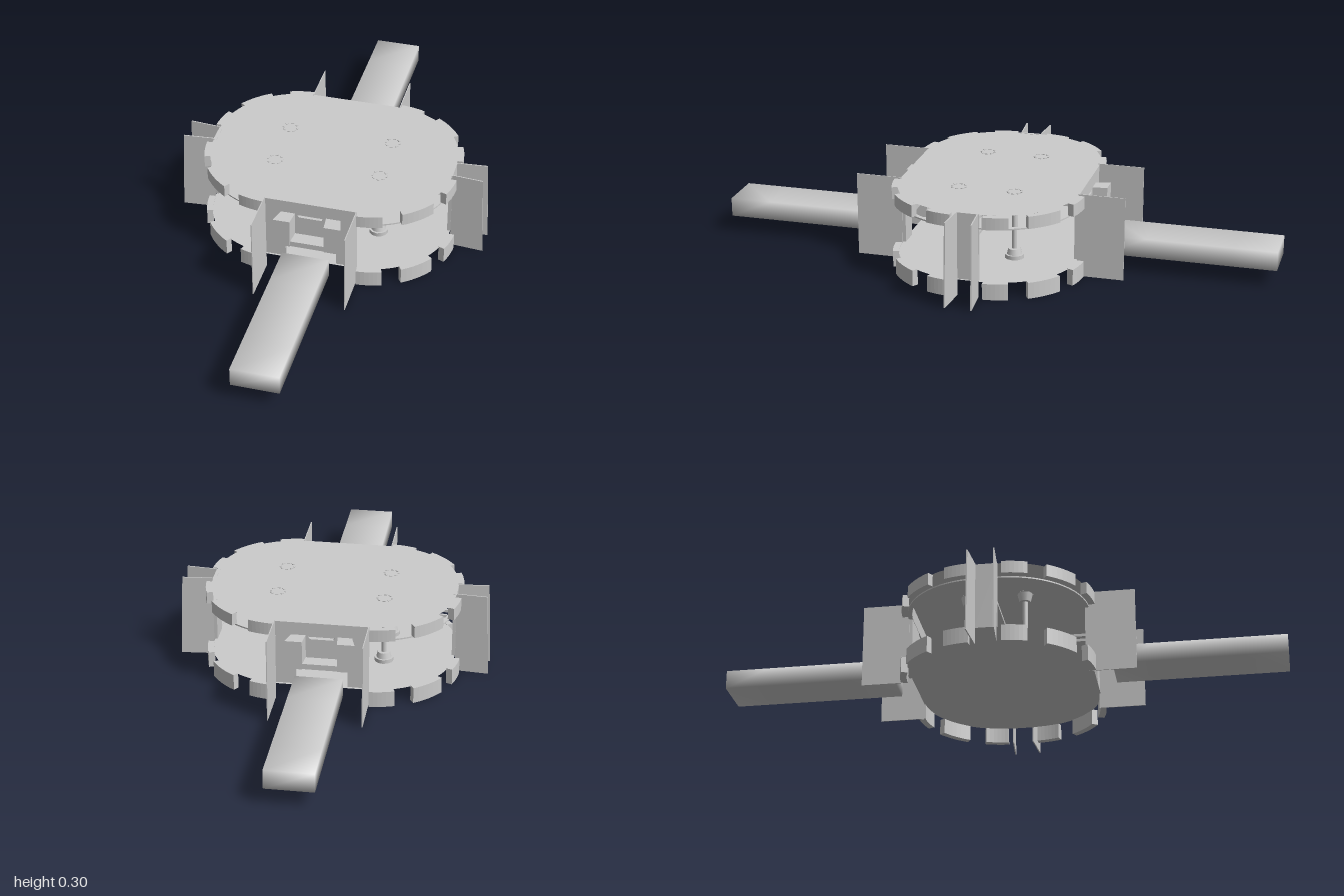
import * as THREE from 'three';
import { mergeVertices } from 'three/addons/utils/BufferGeometryUtils.js';

const CX = 0.15, CZ = 0.04; // centres of the rounded deck corners
const SIGNS = [-1, 1];

export function createModel() {
  const model = new THREE.Group();
  const grey = new THREE.MeshStandardMaterial({ color: 0xcccccc, side: THREE.DoubleSide });

  function add(name, geometry, x = 0, y = 0, z = 0, parent = model) {
    const mesh = new THREE.Mesh(geometry, grey);
    mesh.name = name;
    mesh.position.set(x, y, z);
    parent.add(mesh);
    return mesh;
  }

  const polygon = points => new THREE.Shape(points.map(([x, y]) => new THREE.Vector2(x, y)));

  // Extrude a plan shape (x, -z) upwards from y = 0
  function slab(shape, height) {
    const g = new THREE.ExtrudeGeometry(shape, { depth: height, bevelEnabled: false, curveSegments: 14 });
    return g.rotateX(-Math.PI / 2);
  }

  // Rounded deck outline
  function deckShape(r) {
    const s = new THREE.Shape();
    s.absarc(CX, CZ, r, 0, Math.PI / 2);
    s.absarc(-CX, CZ, r, Math.PI / 2, Math.PI);
    s.absarc(-CX, -CZ, r, Math.PI, Math.PI * 1.5);
    s.absarc(CX, -CZ, r, Math.PI * 1.5, Math.PI * 2);
    s.closePath();
    return s;
  }

  // Thin decks, each with rim blocks hanging from its edge
  const sheet = r => new THREE.ShapeGeometry(deckShape(r), 14).rotateX(-Math.PI / 2);
  add('upperDeck', sheet(0.282), 0, 0.299, 0);
  add('lowerDeck', sheet(0.282), 0, 0.056, 0);

  // Slim lip under the upper deck edge
  const lip = deckShape(0.28);
  lip.holes.push(deckShape(0.265));
  add('upperLip', slab(lip, 0.005), 0, 0.245, 0);

  // Cross bars below the upper deck
  for (const s of SIGNS) {
    add('crossBar', new THREE.BoxGeometry(0.8, 0.01, 0.008), 0, 0.205, s * 0.02);
    add('crossBar', new THREE.BoxGeometry(0.008, 0.01, 0.59), s * 0.02, 0.205, 0);
  }

  // Curved rim blocks, three on each corner of each deck
  const spans = [[3, 20], [33, 57], [70, 87]];
  function rimBlock(sx, sz, from, to, height) {
    const a = THREE.MathUtils.degToRad(from), b = THREE.MathUtils.degToRad(to);
    const steps = 6;
    const point = (r, t) => [sx * (CX + r * Math.sin(t)), -sz * (CZ + r * Math.cos(t))];
    const pts = [];
    for (let i = 0; i <= steps; i++) pts.push(point(0.302, a + (b - a) * i / steps));
    for (let i = steps; i >= 0; i--) pts.push(point(0.279, a + (b - a) * i / steps));
    return slab(polygon(pts), height);
  }
  for (const sx of SIGNS) for (const sz of SIGNS) for (const [a, b] of spans) {
    add('upperRimBlock', rimBlock(sx, sz, a, b, 0.044), 0, 0.253, 0);
    add('lowerRimBlock', rimBlock(sx, sz, a, b, 0.058), 0, 0, 0);
  }

  // Flat upright fins in pairs around the four gates
  function fin() {
    const s = polygon([[0, 0], [0.12, 0], [0.108, 0.302], [0, 0.302]]);
    return new THREE.ExtrudeGeometry(s, { depth: 0.004, bevelEnabled: false }).translate(0, 0, -0.002);
  }
  for (const sx of SIGNS) for (const sz of SIGNS) {
    add('endFin', new THREE.BoxGeometry(0.003, 0.302, 0.165), sx * 0.162, 0.151, sz * 0.4);
    const side = add('sideFin', fin(), sx * 0.434, 0, sz * 0.037);
    side.rotation.y = sx > 0 ? -sz * 0.08 : Math.PI + sz * 0.08;
  }

  // Walls closing the sides between the fins
  for (const sx of SIGNS) add('sideWall', new THREE.BoxGeometry(0.012, 0.24, 0.08), sx * 0.428, 0.18, 0);

  // End gates: wall with a sight slot and arm opening, a bracket, and a long arm
  for (const sz of SIGNS) {
    const gate = new THREE.Group();
    gate.name = 'endGate';
    gate.rotation.y = sz > 0 ? 0 : Math.PI;
    model.add(gate);

    const wall = polygon([[-0.16, 0.06], [-0.09, 0.06], [-0.09, 0.135], [0.09, 0.135], [0.09, 0.06],
      [0.16, 0.06], [0.16, 0.297], [-0.16, 0.297]]);
    wall.holes.push(polygon([[-0.04, 0.236], [-0.05, 0.25], [0.05, 0.25], [0.04, 0.236]]));
    add('endWall', new THREE.ExtrudeGeometry(wall, { depth: 0.014, bevelEnabled: false }), 0, 0, 0.306, gate);

    // Bracket shelf between two lugs that narrow downwards
    add('bracketShelf', new THREE.BoxGeometry(0.13, 0.02, 0.05), 0, 0.155, 0.344, gate);
    for (const sx of SIGNS) {
      const lug = polygon([[0.055, 0.32], [0.105, 0.32], [0.12, 0.372], [0.06, 0.372]]
        .map(([x, z]) => [sx * x, -z]));
      add('bracketLug', slab(lug, 0.105), 0, 0.145, 0, gate);
    }

    // Arm with softly shaded edges
    const arm = new THREE.BoxGeometry(0.166, 0.068, 0.61, 1, 1, 4);
    arm.deleteAttribute('normal');
    arm.deleteAttribute('uv');
    const soft = mergeVertices(arm);
    soft.computeVertexNormals();
    add('arm', soft, 0, 0.094, 0.695, gate);
  }

  // Four posts with stepped hubs at both decks and a ring of tabs on top
  for (const sx of SIGNS) for (const sz of SIGNS) {
    const support = new THREE.Group();
    support.name = 'support';
    support.position.set(sx * 0.188, 0, sz * 0.1);
    model.add(support);
    add('post', new THREE.CylinderGeometry(0.009, 0.009, 0.24, 16), 0, 0.178, 0, support);
    add('hubFlange', new THREE.CylinderGeometry(0.034, 0.034, 0.014, 12), 0, 0.064, 0, support);
    add('hub', new THREE.CylinderGeometry(0.022, 0.027, 0.02, 12), 0, 0.081, 0, support);
    add('upperHub', new THREE.CylinderGeometry(0.027, 0.02, 0.03, 12), 0, 0.282, 0, support);
    for (let i = 0; i < 8; i++) {
      const t = i * Math.PI / 4;
      const tab = add('topTab', new THREE.BoxGeometry(0.006, 0.003, 0.011),
        0.025 * Math.cos(t), 0.3, 0.025 * Math.sin(t), support);
      tab.rotation.y = -t;
    }
  }
  return model;
}
